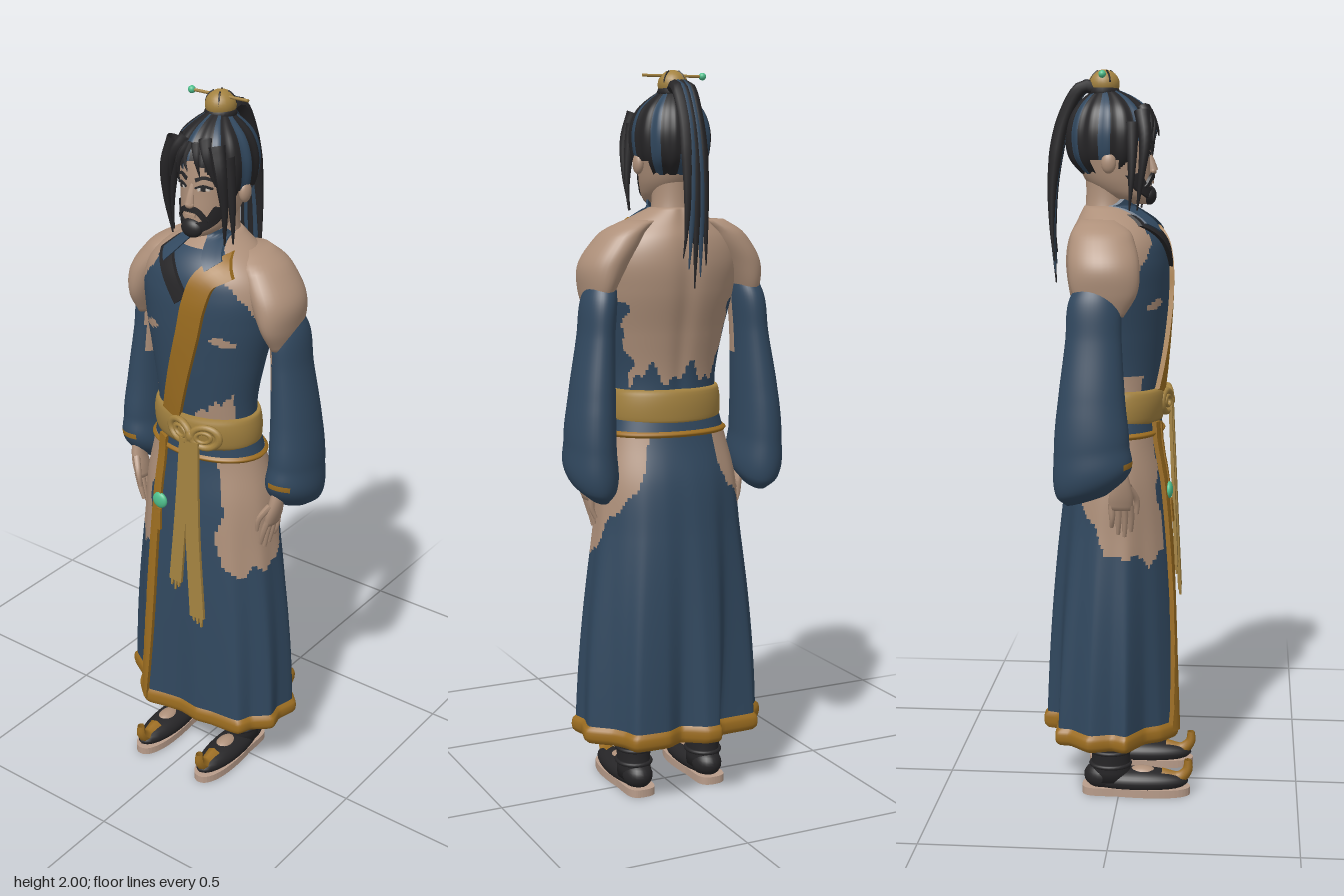
import * as THREE from 'three';

const mat = (name, color) => Object.assign(new THREE.MeshStandardMaterial({ color, side: THREE.DoubleSide }), { name });
const BLUE = mat('blueCloth', 0x31485f), SKIN = mat('skin', 0xae907a), SASH = mat('sashGold', 0xa38240);
const TRIM = mat('trimGold', 0x9c6d20), BLACK = mat('black', 0x262527), JADE = mat('jade', 0x4fbf8c);
const SOLE = mat('sole', 0xb89c8a), WHITE = mat('eyeWhite', 0xcfc6bc);

const root = new THREE.Group();
const add = (name, geo, m, pos = [0, 0, 0], scale = [1, 1, 1], rot = [0, 0, 0]) => {
  const mesh = new THREE.Mesh(geo, m);
  mesh.name = name;
  mesh.position.set(...pos); mesh.scale.set(...scale); mesh.rotation.set(...rot);
  root.add(mesh);
  return mesh;
};

// Smooth interpolation of cross-sections given as [y, centreX, halfWidth, frontZ, backZ]
const sampler = keys => {
  const c = new THREE.CubicInterpolant(keys.map(k => k[0]), keys.flatMap(k => k.slice(1)), 4, new Float32Array(4));
  return y => [...c.evaluate(y)];
};

// Stacked oval sections; shape() may bend a point, pick() chooses a material per face, -1 leaves a hole
function loft(name, mats, keys, { n = 40, m = 24, fold = () => 1, shape = (...p) => p, pick = () => 0, cap = true } = {}) {
  const at = sampler(keys), y0 = keys[0][0], y1 = keys[keys.length - 1][0];
  const pos = [], lists = mats.map(() => []), rows = m + 1 + (cap ? 2 : 0);
  for (let i = 0; i < rows; i++) {
    const k = cap ? Math.min(Math.max(i - 1, 0), m) : i, y = y0 + (y1 - y0) * k / m;
    const [cx, rx, zf, zb] = at(y), s = cap && (i === 0 || i === rows - 1) ? 0 : 1;
    for (let j = 0; j < n; j++) {
      const t = j / n * Math.PI * 2, f = s * fold(t, y);
      pos.push(...shape(cx + rx * f * Math.sin(t), y, (zf + zb) / 2 + (zf - zb) / 2 * f * Math.cos(t), t).slice(0, 3));
    }
  }
  for (let i = 0; i < rows - 1; i++) for (let j = 0; j < n; j++) {
    const a = i * n + j, b = i * n + (j + 1) % n, c = b + n, d = a + n;
    const mid = q => (pos[a * 3 + q] + pos[b * 3 + q] + pos[c * 3 + q] + pos[d * 3 + q]) / 4;
    const p = pick(mid(0), mid(1), mid(2), (j + 0.5) / n * Math.PI * 2);
    if (p >= 0) lists[p].push(a, b, c, a, c, d);
  }
  const g = new THREE.BufferGeometry();
  g.setAttribute('position', new THREE.Float32BufferAttribute(pos, 3));
  g.setIndex(lists.flat());
  let start = 0;
  lists.forEach((l, i) => { g.addGroup(start, l.length, i); start += l.length; });
  g.computeVertexNormals();
  return add(name, g, mats);
}

// Front depth of a loft at (x, y)
const front = keys => {
  const at = sampler(keys);
  return (x, y) => {
    const [cx, rx, zf, zb] = at(y), u = Math.min(Math.abs((x - cx) / rx), 1);
    return (zf + zb) / 2 + (zf - zb) / 2 * Math.sqrt(1 - u * u);
  };
};

// Band that follows an xy path and hugs a front surface
function strip(name, m, pts, w, surf, lift = 0.004, thick = 0.008, tip = 1) {
  const g = new THREE.BoxGeometry(1, 1, 1, 4, 28, 1), p = g.attributes.position;
  const curve = new THREE.CatmullRomCurve3(pts.map(q => new THREE.Vector3(q[0], q[1], 0)));
  for (let i = 0; i < p.count; i++) {
    const v = 0.5 - p.getY(i), c = curve.getPoint(v), d = curve.getTangent(v);
    const o = p.getX(i) * w * (1 + (tip - 1) * v), x = c.x - d.y * o, y = c.y + d.x * o;
    p.setXYZ(i, x, y, surf(x, y) + lift + p.getZ(i) * thick);
  }
  g.computeVertexNormals();
  return add(name, g, m);
}

// Tube with changing radius
function taper(name, m, pts, r, prof = v => 1 - 0.9 * v, n = 16) {
  const path = new THREE.CatmullRomCurve3(pts.map(p => new THREE.Vector3(...p)));
  const g = new THREE.TubeGeometry(path, n, r, 8), p = g.attributes.position, q = new THREE.Vector3();
  for (let i = 0; i < p.count; i++) {
    const v = Math.floor(i / 9) / n, c = path.getPointAt(v);
    q.fromBufferAttribute(p, i).sub(c).multiplyScalar(prof(v)).add(c);
    p.setXYZ(i, q.x, q.y, q.z);
  }
  g.computeVertexNormals();
  return add(name, g, m);
}
const ball = (name, m, pos, scale) => add(name, new THREE.SphereGeometry(1, 24, 16), m, pos, scale);
const jag = (t, y = 0) => 0.6 * Math.sin(t * 8 + y * 30) + 0.4 * Math.sin(t * 17 + y * 13 + 1);

function buildBody() {
  const torso = [[1.0, 0, .165, .1, -.11], [1.1, 0, .15, .103, -.1], [1.18, 0, .15, .112, -.1], [1.3, 0, .17, .122, -.12],
    [1.42, 0, .195, .128, -.148], [1.5, 0, .2, .125, -.155], [1.56, 0, .175, .11, -.145], [1.6, 0, .13, .08, -.125], [1.64, 0, .06, .02, -.105]];
  const onTorso = front(torso);
  loft('torso', [BLUE, SKIN], torso, {
    n: 112, m: 90,
    fold: t => 1 - 0.07 * Math.exp(-(((t - Math.PI) / 0.16) ** 2)),
    pick: (x, y, z, t) => {
      const c = Math.cos(t), ax = Math.abs(x);
      if (c > 0.2 && Math.hypot((ax - .115) / .03, (y - 1.383 + (ax - .115) * .2) / .012) < 1) return 1;
      if (c > 0 && y > 1.14 && (x > .035 && x < .13 && y < 1.165 + (x - .04) * .6 + jag(x * 20) * .012 || x < -.125 && y < 1.19)) return 1;
      if (y > 1.39) return c > 0 && ax < .19 - (y - 1.45) * .7 + jag(y * 8) * .006 && y < 1.61 ? 0 : 1;
      return c > -0.5 + jag(y * 5) * .12 || y < 1.19 + .04 * jag(t) ? 0 : 1;
    },
  });
  loft('neck', [SKIN], [[1.58, 0, .07, .01, -.11], [1.65, 0, .055, .012, -.1], [1.74, 0, .055, .02, -.1]]);

  // Crossed collar
  strip('goldLapel', TRIM, [[.115, 1.585], [.07, 1.555], [.045, 1.48], [.028, 1.4], [0, 1.3], [-.045, 1.14]], .065, onTorso, .006, .014);
  strip('darkLapel', BLACK, [[-.095, 1.605], [-.05, 1.56], [.008, 1.49]], .042, onTorso, .005, .012);
  for (const s of [-1, 1]) strip('collarStand', BLUE, [[s * .035, 1.65], [s * .055, 1.615], [s * .08, 1.585]], .035, onTorso, .012, .012);

  for (const s of [-1, 1]) {
    loft('shoulder', [SKIN], [[1.36, s * .222, .022, .02, -.08], [1.42, s * .218, .041, .055, -.115], [1.49, s * .2, .061, .06, -.128],
      [1.55, s * .163, .062, .045, -.128], [1.58, s * .14, .055, .03, -.122], [1.607, s * .1, .045, -.01, -.105]], { n: 32 });
    // Puffed sleeve, lower at the back
    loft('sleeve', [BLUE, SKIN, TRIM], [[.885, s * .24, .03, -.02, -.13], [.915, s * .247, .06, .03, -.155], [1.02, s * .253, .065, .038, -.162],
      [1.15, s * .246, .058, .026, -.15], [1.3, s * .232, .047, .016, -.132], [1.4, s * .222, .045, .01, -.124], [1.45, s * .212, .036, -.01, -.1]], {
      m: 64,
      shape: (x, y, z) => [x, y + (z + .04) * .3 * Math.max(0, Math.min(1, (1.1 - y) / .18)), z],
      pick: (x, y, z) => {
        if (s * x < .213 && y > 1.24 && z > -.06) return 1;
        return Math.abs(y - .973) < .008 && z > -.01 && s * x > .23 && s * x < .295 ? 2 : 0;
      },
    });
    // Hand
    loft('hand', [SKIN], [[.845, s * .226, .014, .045, -.018], [.88, s * .234, .018, .047, -.018], [.92, s * .242, .018, .04, -.01], [.96, s * .245, .018, .03, -.02]], { n: 20, m: 10 });
    for (let f = 0; f < 4; f++) {
      const z = -.012 + f * .017, drop = [.795, .775, .768, .782][f];
      taper('finger', SKIN, [[s * .229, .86, z], [s * (.226 - .003 * f), .82, z + .002], [s * (.216 - .003 * f), drop, z]], .009, v => 1 - .4 * v * v, 8);
    }
    taper('thumb', SKIN, [[s * .235, .91, .035], [s * .212, .87, .055], [s * .205, .83, .055]], .01, v => 1 - .5 * v * v, 8);
  }
}

function buildSkirt() {
  const keys = [[.17, 0, .252, .155, -.196], [.25, 0, .248, .153, -.194], [.5, 0, .226, .148, -.182], [.75, 0, .203, .138, -.165],
    [.9, 0, .196, .126, -.15], [1.0, 0, .176, .112, -.126], [1.08, 0, .157, .107, -.108]];
  // Pleated outline of the hem, from the front centre round by +x
  const hem = new THREE.CatmullRomCurve3([[0, .138], [.06, .145], [.11, .135], [.195, .125], [.215, .085], [.258, .045], [.25, 0], [.262, -.06], [.21, -.11],
    [.188, -.145], [.17, -.187], [.08, -.193], [.03, -.17], [-.03, -.207], [-.07, -.207], [-.09, -.168], [-.2, -.162], [-.212, -.125], [-.258, -.07],
    [-.242, -.01], [-.255, .03], [-.185, .075], [-.16, .118], [-.11, .158], [-.06, .148]].map(p => new THREE.Vector3(p[0], 0, p[1])), true, 'catmullrom', .3);
  const pleat = (x, y, z, t) => {
    const w = Math.min(1, Math.max(0, (1.02 - y) / .82)) ** 1.4, h = hem.getPoint((t / Math.PI / 2 + 1) % 1);
    return [x + (h.x - x) * w, y, z + (h.z - z) * w];
  };
  const at = sampler(keys);
  const onSkirt = (x, y) => {
    const [, rx, zf, zb] = at(y);
    let best = 1, depth = 0;
    for (let t = -1.2; t < 1.2; t += .02) {
      const [px, , pz] = pleat(rx * Math.sin(t), y, (zf + zb) / 2 + (zf - zb) / 2 * Math.cos(t), t);
      if (Math.abs(px - x) < best) { best = Math.abs(px - x); depth = pz; }
    }
    return depth;
  };
  loft('skirt', [BLUE, SKIN], keys, {
    n: 150, m: 84, shape: pleat, cap: false,
    pick: (x, y, z, t) => {
      const s = Math.abs(Math.sin(t)), edge = Math.max(0, 1 - s);
      return y < 1.035 && s > .57 + jag(y * 3, x > 0 ? 1 : 0) * .06 && y > .71 - z * .9 + edge * .28 + jag(t, 1) * .025 ? 1 : 0;
    },
  });
  // Hem and cord
  const band = (name, rows, shape) => loft(name, [TRIM], rows.map(([y, d]) => {
    const [, rx, zf, zb] = at(y);
    return [y, 0, rx + d, zf + d, zb - d];
  }), { n: 150, m: 6, shape, cap: false });
  const rim = y => 1 + .045 * Math.sqrt(Math.max(0, 1 - ((y - .194) / .024) ** 2));
  band('hem', [[.17, 0], [.185, 0], [.205, 0], [.218, 0]], (x, y, z, t) => {
    const p = pleat(x, y, z, t);
    return [p[0] * rim(y), y, p[2] * rim(y)];
  });
  band('waistCord', [[1.022, .002], [1.03, .009], [1.038, .002]]);
  strip('skirtEdge', TRIM, [[-.08, 1.06], [-.086, .85], [-.1, .5], [-.122, .19]], .03, onSkirt, .006, .012);

  // Sash with knot and hanging ends
  loft('sash', [SASH], [[1.058, 0, .157, .111, -.112], [1.07, 0, .161, .115, -.114], [1.14, 0, .159, .118, -.111], [1.15, 0, .155, .113, -.107]], { n: 64, m: 10 });
  for (const s of [-1, 1]) {
    add('knotLoop', new THREE.TorusGeometry(.033, .01, 8, 28), SASH, [.037 + s * .042, 1.105, .122], [1.2, .9, 1], [0, s * .25, s * .15]);
    add('knotInnerLoop', new THREE.TorusGeometry(.018, .006, 8, 20), SASH, [.037 + s * .038, 1.105, .126], [1.2, .8, 1], [0, s * .25, s * .15]);
  }
  ball('knotCentre', SASH, [.037, 1.103, .13], [.014, .02, .014]);
  const hang = (x, y) => .132 + (1.09 - y) * .045;
  strip('sashEnd', SASH, [[.02, 1.09], [.012, .88], [-.002, .64]], .036, hang, 0, .009, 1.15);
  strip('sashEnd', SASH, [[.045, 1.09], [.055, .82], [.079, .55]], .042, hang, .003, .009, 1.15);
  for (let i = 0; i < 3; i++) {
    strip('sashFringe', SASH, [[-.014 + i * .012, .65], [-.015 + i * .012, .622 - i % 2 * .012]], .011, hang, 0, .006, .4);
    strip('sashFringe', SASH, [[.066 + i * .013, .56], [.068 + i * .013, .535 - i * .006]], .012, hang, .003, .006, .4);
  }
  // Jade pendant
  strip('pendantCord', TRIM, [[-.066, 1.06], [-.07, .88]], .008, onSkirt, .012, .006);
  ball('jadePendant', JADE, [-.07, .868, .134], [.024, .024, .011]);
  strip('pendantTassel', TRIM, [[-.07, .845], [-.07, .78]], .014, onSkirt, .012, .008, 1.4);
}

function buildHead() {
  const head = [[1.645, 0, .028, .07, .0], [1.66, 0, .05, .076, -.04], [1.69, 0, .067, .077, -.085], [1.75, 0, .08, .075, -.12],
    [1.8, 0, .086, .073, -.13], [1.86, 0, .08, .062, -.13], [1.91, 0, .05, .03, -.1]];
  const face = front(head);
  loft('head', [SKIN], head, { n: 48, m: 30 });
  taper('nose', SKIN, [[0, 1.785, .068], [0, 1.755, .078], [0, 1.733, .083]], .013, v => .5 + .5 * v, 10);
  ball('noseTip', SKIN, [0, 1.732, .083], [.014, .01, .009]);
  for (const s of [-1, 1]) {
    strip('eyebrow', BLACK, [[s * .014, 1.797], [s * .035, 1.805], [s * .058, 1.797]], .01, face, .003, .004, .5);
    strip('eyeWhite', WHITE, [[s * .02, 1.774], [s * .034, 1.777], [s * .048, 1.775]], .009, face, .002, .004);
    strip('iris', BLACK, [[s * .029, 1.776], [s * .039, 1.776]], .011, face, .004, .004);
    strip('eyelid', BLACK, [[s * .014, 1.777], [s * .034, 1.784], [s * .054, 1.777]], .005, face, .004, .004);
    strip('moustache', BLACK, [[s * .003, 1.722], [s * .022, 1.717], [s * .044, 1.69]], .016, face, .007, .008, .5);
    strip('jawBeard', BLACK, [[s * .064, 1.725], [s * .045, 1.687], [s * .012, 1.667]], .018, face, .004, .007, 1.6);
    ball('ear', SKIN, [s * .093, 1.755, -.03], [.014, .028, .02]);
  }
  strip('mouth', SKIN, [[-.016, 1.703], [.016, 1.703]], .007, face, .005, .005);
  ball('chinBeard', BLACK, [0, 1.668, .072], [.032, .026, .02]);

  // Combed hair with a face opening
  loft('hair', [BLACK, BLUE], [[1.725, 0, .07, .05, -.11], [1.76, 0, .094, .075, -.14], [1.8, 0, .104, .088, -.152], [1.85, 0, .103, .089, -.151],
    [1.9, 0, .083, .065, -.13], [1.93, 0, .052, .025, -.1], [1.95, 0, .025, -.02, -.07]], {
    n: 112, m: 36, cap: false, fold: t => 1 + .025 * Math.cos(16 * t),
    pick: (x, y, z, t) => {
      const c = Math.cos(t);
      if (c > .35 && Math.abs(x) < .082 && y < 1.845 - Math.abs(x) * .3 + jag(t) * .014) return -1;
      if (c > -.45 && c < .25 && y < 1.765) return -1;
      return Math.cos(8 * t + .5) > (c > .2 ? .65 : .4) ? 1 : 0;
    },
  });
  for (const s of [-1, 1]) {
    taper('sideLock', BLACK, [[s * .065, 1.89, .055], [s * .086, 1.82, .066], [s * .092, 1.73, .058], [s * .084, 1.63, .045]], .022);
    taper('sideLock', BLACK, [[s * .08, 1.86, .03], [s * .092, 1.78, .032], [s * .098, 1.7, .03], [s * .096, 1.63, .025]], .02);
    taper('fringe', BLACK, [[s * .03, 1.9, .055], [s * .052, 1.86, .077], [s * .072, 1.79, .068]], .018);
    taper('fringe', BLACK, [[s * .01, 1.89, .068], [s * .026, 1.855, .086], [s * .034, 1.812, .084]], .013);
  }
  taper('fringe', BLACK, [[0, 1.89, .068], [-.006, 1.85, .092], [.006, 1.825, .098]], .012);

  // Topknot, pin and long tail
  add('topknotBase', new THREE.TorusGeometry(.03, .013, 8, 24), BLACK, [0, 1.942, -.05], [1, 1, 1], [Math.PI / 2, 0, 0]);
  ball('topknotCap', SASH, [0, 1.962, -.05], [.04, .038, .042]);
  for (let i = 0; i < 4; i++)
    add('capBand', new THREE.TorusGeometry(.039, .0025, 6, 20, 1), BLACK, [0, 1.962, -.05], [1, 1, 1.05], [0, i * 1.57 + .5, .1]);
  add('hairpin', new THREE.CylinderGeometry(.004, .004, .175, 10), SASH, [0, 1.985, -.047], [1, 1, 1], [0, 0, Math.PI / 2]);
  ball('jadeBead', JADE, [-.09, 1.985, -.047], [.01, .01, .01]);
  for (let i = -2; i <= 2; i++) {
    const x = i * .008, end = 1.43 + Math.abs(i) * .03 + (i > 0 ? .02 : 0);
    taper('ponytailStrand', Math.abs(i) === 1 ? BLUE : BLACK, [[x * .6, 1.945, -.06], [x, 1.955, -.105], [x * 1.1, 1.87, -.158], [x * 1.4, 1.72, -.187],
      [x * 1.8, 1.57, -.19], [x * 2.1, end, -.183]], .018, v => Math.min(1, 1.7 * (1 - v) + .08), 28);
  }
}

function buildLegs() {
  const sole = new THREE.Shape();
  sole.moveTo(0, -.2);
  sole.bezierCurveTo(.05, -.2, .052, -.08, .042, 0);
  sole.bezierCurveTo(.04, .07, .05, .105, 0, .105);
  sole.bezierCurveTo(-.05, .105, -.04, .07, -.042, 0);
  sole.bezierCurveTo(-.052, -.08, -.05, -.2, 0, -.2);
  for (const s of [-1, 1]) {
    const x = s * .11;
    loft('leg', [BLACK], [[.04, x, .045, .035, -.085], [.1, x, .046, .03, -.078], [.2, x, .051, .035, -.085], [.45, x * .9, .06, .045, -.09], [.7, x * .85, .07, .06, -.1]]);
    for (const y of [.085, .125]) add('ankleWrap', new THREE.TorusGeometry(.047, .006, 8, 28), BLACK, [x, y, -.025], [1, 1.15, 1], [Math.PI / 2, 0, 0]);
    // Shoe with curled gold toe
    add('shoeSole', new THREE.ExtrudeGeometry(sole, { depth: .022, bevelEnabled: false, curveSegments: 16 }), SOLE, [x, 0, 0], [1, 1, 1], [-Math.PI / 2, 0, 0]);
    ball('shoe', BLACK, [x, .038, .05], [.049, .034, .145]);
    ball('heel', BLACK, [x, .05, -.045], [.043, .04, .055]);
    ball('instep', SKIN, [x, .054, .065], [.028, .024, .045]);
    taper('curledToe', TRIM, [[x, .048, .12], [x, .046, .168], [x, .07, .192], [x, .1, .194]], .026, v => 1 - .6 * v);
  }
}

export function createModel() {
  root.clear();
  root.name = 'robedFigure';
  buildBody();
  buildSkirt();
  buildHead();
  buildLegs();
  return root;
}
